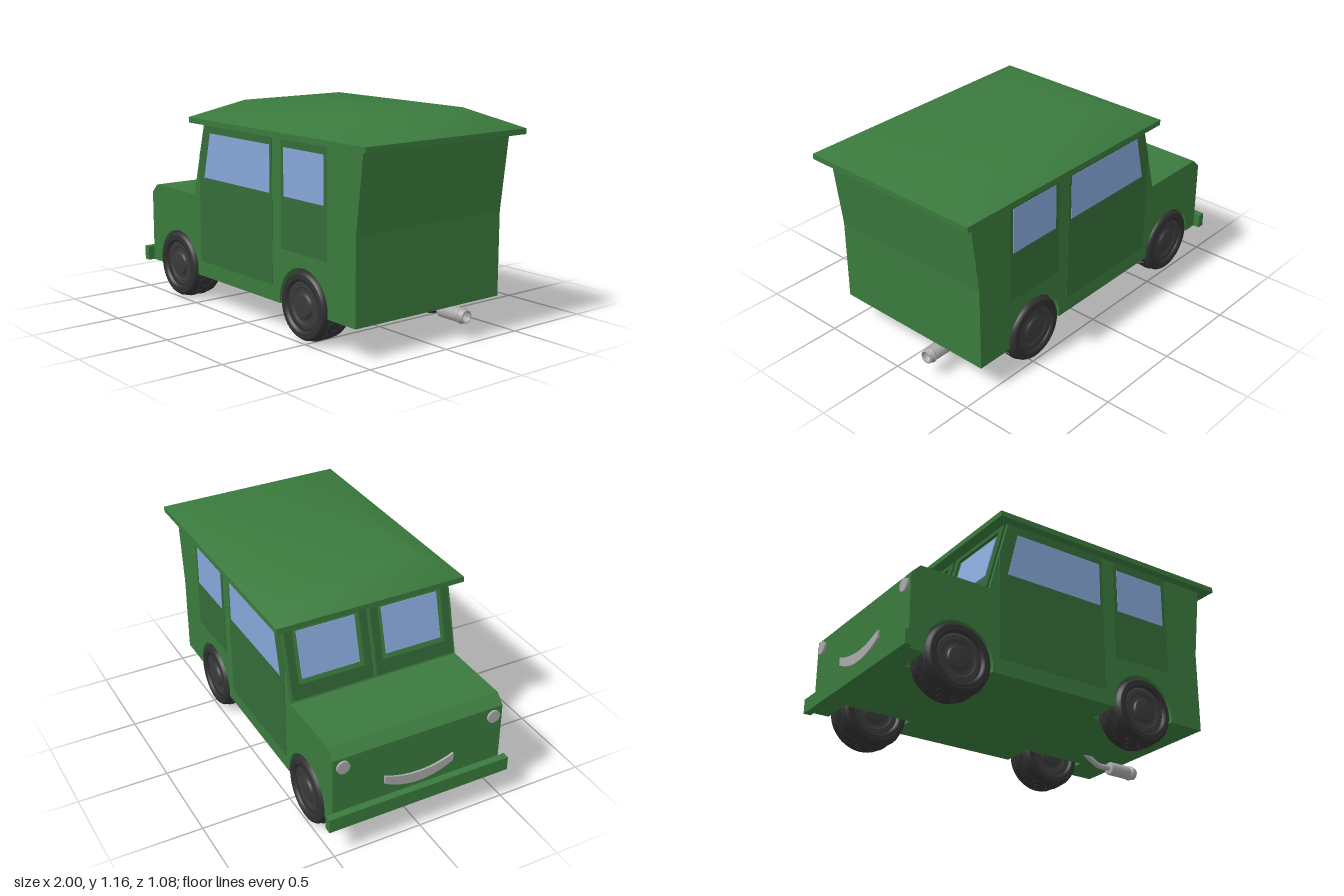
import * as THREE from 'three';

const mat = (color, extra = {}) => new THREE.MeshStandardMaterial({ color, ...extra });
const GREEN = mat(0x3a7a3d), DOOR = mat(0x356b38), FRAME = mat(0x2f6334), GLASS = mat(0x86a6d8);
const TYRE = mat(0x303030), RIM = mat(0x3a3a3a), METAL = mat(0xaaaaaa);

const shapeOf = pts => new THREE.Shape(pts.map(p => new THREE.Vector2(...p)));
const rect = (x0, y0, x1, y1) => [[x0, y0], [x1, y0], [x1, y1], [x0, y1]];

function add(parent, name, geometry, material, x = 0, y = 0, z = 0) {
  const mesh = new THREE.Mesh(geometry, material);
  mesh.name = name;
  mesh.position.set(x, y, z);
  parent.add(mesh);
  return mesh;
}

const extrude = (shape, depth) =>
  new THREE.ExtrudeGeometry(shape, { depth, bevelEnabled: false, curveSegments: 28 });

const AXLES = [{ name: 'front', x: -0.68, r: 0.19 }, { name: 'rear', x: 0.475, r: 0.185 }];

// Side outline of the body, with or without wheel arches
function bodyShape(arches) {
  const s = new THREE.Shape();
  s.moveTo(-0.96, 0.165);
  if (arches) {
    const r = 0.195, a = Math.asin(0.025 / r);
    for (const { x } of AXLES) {
      s.lineTo(x - r * Math.cos(a), 0.165);
      s.absarc(x, 0.19, r, Math.PI + a, -a, true);
    }
  }
  for (const p of [[0.88, 0.165], [0.88, 0.62], [0.93, 1.03], [-0.4, 1.03],
    [-0.51, 0.62], [-0.91, 0.62], [-0.96, 0.57]]) s.lineTo(...p);
  s.closePath();
  return s;
}

// Hipped roof top with soft shading over its edges
function roofGeometry() {
  const ring = (x0, x1, z, y) => [x0, y, z, x1, y, z, x1, y, -z, x0, y, -z];
  const g = new THREE.BufferGeometry();
  g.setAttribute('position', new THREE.Float32BufferAttribute(
    [...ring(-0.475, 1, 0.54, 1.06), ...ring(-0.24, 0.75, 0.33, 1.16)], 3));
  const index = [4, 5, 6, 4, 6, 7];
  for (let i = 0; i < 4; i++) {
    const j = (i + 1) % 4;
    index.push(i, j, j + 4, i, j + 4, i + 4);
  }
  g.setIndex(index);
  g.computeVertexNormals();
  return g;
}

function makeWheel(r) {
  const wheel = new THREE.Group();
  const lathe = pts => new THREE.LatheGeometry(pts.map(p => new THREE.Vector2(...p)), 48).rotateX(Math.PI / 2);
  // Tyre: rounded shoulders, two grooves and stepped sidewalls
  const half = [[0.125, 0.075], [0.13, 0.09], [0.145, 0.094], [0.148, 0.09], [0.158, 0.09],
    [0.162, 0.093], [r - 0.016, 0.088], [r - 0.007, 0.075], [r - 0.004, 0.058],
    [r - 0.012, 0.056], [r - 0.012, 0.05], [r - 0.003, 0.048]];
  add(wheel, 'tyre', lathe([...half.map(([a, b]) => [a, -b]), ...half.slice().reverse()]), TYRE);
  // Rim: dished disc with rings and a hub cap
  const disc = [[0, 0.085], [0.055, 0.085], [0.06, 0.078], [0.065, 0.07], [0.09, 0.068],
    [0.095, 0.076], [0.105, 0.076], [0.11, 0.072], [0.128, 0.08]];
  add(wheel, 'rim', lathe([...disc.map(([a, b]) => [a, -b]), ...disc.slice().reverse()]), RIM);
  // Tread blocks in staggered rows
  for (let row = 0; row < 3; row++) for (let i = 0; i < 14; i++) {
    const a = (i + row / 3) / 14 * Math.PI * 2;
    const block = add(wheel, 'treadBlock', new THREE.BoxGeometry(0.07, 0.01, 0.028), TYRE,
      Math.sin(a) * (r - 0.006), Math.cos(a) * (r - 0.006), (row - 1) * 0.034);
    block.rotation.z = -a;
  }
  return wheel;
}

export function createModel() {
  const car = new THREE.Group();
  car.name = 'car';

  // Body: solid core between two flanks cut by the wheel arches
  add(car, 'bodyCore', extrude(bodyShape(false), 0.6), GREEN, 0, 0, -0.3);
  const flank = extrude(bodyShape(true), 0.19);
  add(car, 'leftFlank', flank, GREEN, 0, 0, 0.3);
  add(car, 'rightFlank', flank, GREEN, 0, 0, -0.49);

  // Roof
  add(car, 'roofEave', new THREE.BoxGeometry(1.475, 0.03, 1.08), GREEN, 0.2625, 1.045, 0);
  add(car, 'roofTop', roofGeometry(), GREEN);

  // Doors and side windows
  const panels = [
    ['frontDoor', [[-0.45, 0.25], [0.22, 0.25], [0.22, 1.03], [-0.395, 1.03], [-0.45, 0.82]], DOOR, 0.002],
    ['rearDoor', rect(0.295, 0.455, 0.665, 1.03), DOOR, 0.002],
    ['frontWindow', [[-0.4, 0.73], [0.2, 0.73], [0.2, 0.98], [-0.34, 0.98]], GLASS, 0.004],
    ['rearWindow', rect(0.32, 0.73, 0.64, 0.98), GLASS, 0.004],
  ];
  // Keep the door's front edge inside the sloping pillar
  panels[0][1][4] = [-0.45, 0.84];
  for (const [name, pts, material, depth] of panels) {
    const g = extrude(shapeOf(pts), depth);
    add(car, name + 'Left', g, material, 0, 0, 0.49);
    add(car, name + 'Right', g, material, 0, 0, -0.49 - depth);
  }

  // Windscreen: two framed panes on the sloping face
  const screen = new THREE.Group();
  screen.name = 'windscreen';
  const up = new THREE.Vector3(0.11, 0.41, 0).normalize();
  const out = new THREE.Vector3(-up.y, up.x, 0);
  screen.quaternion.setFromRotationMatrix(
    new THREE.Matrix4().makeBasis(new THREE.Vector3(0, 0, 1), up, out));
  screen.position.set(-0.51, 0.62, 0);
  for (const s of [-1, 1]) {
    const frame = shapeOf(rect(-0.232, 0.015, 0.232, 0.42));
    frame.holes.push(shapeOf(rect(-0.19, 0.09, 0.19, 0.39)));
    add(screen, 'windscreenFrame', extrude(frame, 0.012), FRAME, s * 0.243, 0, 0);
    add(screen, 'windscreenPane', extrude(shapeOf(rect(-0.165, 0.115, 0.165, 0.37)), 0.006), GLASS, s * 0.243, 0, 0);
  }
  car.add(screen);

  // Nose: bumper, headlights and curved grille
  add(car, 'bumper', new THREE.BoxGeometry(0.04, 0.08, 1.055), GREEN, -0.98, 0.205, 0);
  for (const s of [-1, 1]) {
    const lamp = add(car, 'headlight', new THREE.CylinderGeometry(0.036, 0.036, 0.014, 24), METAL, -0.965, 0.52, s * 0.435);
    lamp.rotation.z = Math.PI / 2;
  }
  const grille = new THREE.Shape();
  grille.moveTo(-0.2, 0.375);
  grille.lineTo(-0.2, 0.33);
  grille.quadraticCurveTo(0, 0.22, 0.2, 0.33);
  grille.lineTo(0.2, 0.375);
  grille.quadraticCurveTo(0, 0.29, -0.2, 0.375);
  add(car, 'grille', extrude(grille, 0.012), METAL, -0.96, 0, 0).rotation.y = -Math.PI / 2;

  // Wheels
  for (const { name, x, r } of AXLES) for (const s of [-1, 1]) {
    const wheel = makeWheel(r);
    wheel.name = name + (s > 0 ? 'Left' : 'Right') + 'Wheel';
    wheel.position.set(x, 0.19, s * 0.41);
    car.add(wheel);
  }

  // Exhaust: bent pipe, silencer and hollow tip
  const path = new THREE.CatmullRomCurve3([[0.6, 0.18], [0.66, 0.145], [0.7, 0.125], [0.79, 0.125]]
    .map(([x, y]) => new THREE.Vector3(x, y, -0.18)));
  add(car, 'exhaustPipe', new THREE.TubeGeometry(path, 20, 0.016, 12), METAL);
  const profile = [[0, 0], [0.033, 0], [0.038, 0.008], [0.038, 0.135], [0.033, 0.14], [0.033, 0.15],
    [0.042, 0.15], [0.042, 0.16], [0.035, 0.16], [0.035, 0.185], [0.027, 0.185], [0.027, 0.15], [0, 0.15]];
  const silencer = new THREE.LatheGeometry(profile.map(p => new THREE.Vector2(...p)), 28);
  add(car, 'silencer', silencer, METAL, 0.775, 0.123, -0.18).rotation.z = -Math.PI / 2;

  return car;
}
